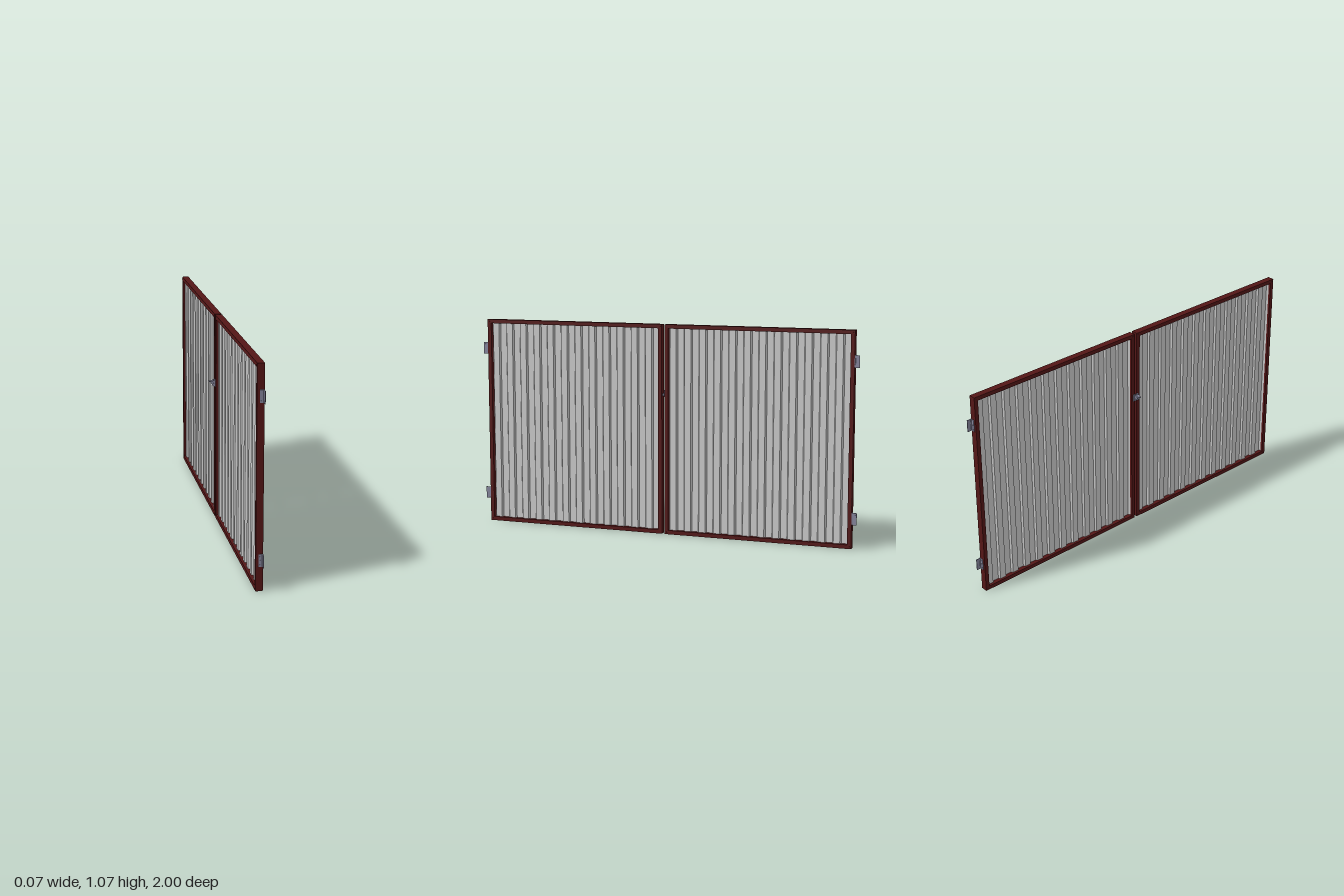
import * as THREE from 'three';

const H = 1.07, INNER = 0.007, OUTER = 0.975, BAR = 0.02;
const X0 = -0.004, X1 = 0.03;

const frameMat = new THREE.MeshStandardMaterial({ color: 0x541616 });
const metalMat = new THREE.MeshStandardMaterial({ color: 0x85859c });
const panelMat = new THREE.MeshStandardMaterial({ color: 0xcccccc, side: THREE.DoubleSide, flatShading: true });

function add(parent, name, geometry, material, x = 0, y = 0, z = 0) {
  const mesh = new THREE.Mesh(geometry, material);
  mesh.name = name;
  mesh.position.set(x, y, z);
  parent.add(mesh);
  return mesh;
}

function box(parent, name, material, sx, sy, sz, x, y, z) {
  return add(parent, name, new THREE.BoxGeometry(sx, sy, sz), material, x, y, z);
}

function rectangle(path, w, y0, y1) {
  path.moveTo(-w / 2, y0);
  path.lineTo(w / 2, y0);
  path.lineTo(w / 2, y1);
  path.lineTo(-w / 2, y1);
  path.closePath();
  return path;
}

// Rectangular tube frame, its opening cut through
function frameGeometry(w) {
  const shape = rectangle(new THREE.Shape(), w, 0, H);
  shape.holes.push(rectangle(new THREE.Path(), w - 2 * BAR, BAR, H - BAR));
  return new THREE.ExtrudeGeometry(shape, { depth: X1 - X0, bevelEnabled: false }).rotateY(Math.PI / 2);
}

// Sheet with trapezoidal ribs, folded from one zigzag section
function sheetGeometry(w, h, ribs) {
  const pitch = w / ribs, section = [];
  for (let i = 0; i < ribs; i++) {
    for (const [t, x] of [[0, 0.008], [0.42, 0.008], [0.5, 0.018], [0.92, 0.018]]) {
      section.push([x, -w / 2 + (i + t) * pitch]);
    }
  }
  section.push([0.008, w / 2]);
  const positions = [], index = [];
  section.forEach(([x, z], i) => {
    positions.push(x, 0, z, x, h, z);
    const a = 2 * i;
    if (i) index.push(a - 2, a - 1, a, a, a - 1, a + 1);
  });
  const geometry = new THREE.BufferGeometry();
  geometry.setAttribute('position', new THREE.Float32BufferAttribute(positions, 3));
  geometry.setIndex(index);
  geometry.computeVertexNormals();
  return geometry;
}

// Angle hinge: a plate screwed to the post, a wing and a pin
function hinge(side, y) {
  const g = new THREE.Group();
  g.name = 'hinge';
  box(g, 'hingePlate', metalMat, 0.022, 0.06, 0.003, 0.019, y, side * (OUTER + 0.0015));
  box(g, 'hingeWing', metalMat, 0.003, 0.06, 0.025, 0.0275, y, side * (OUTER + 0.0125));
  add(g, 'hingePin', new THREE.CylinderGeometry(0.003, 0.003, 0.06, 10), metalMat, 0.027, y, side * (OUTER + 0.003));
  for (const dy of [-0.02, 0, 0.02]) {
    add(g, 'plateScrew', new THREE.CylinderGeometry(0.0025, 0.0025, 0.002, 8), metalMat,
      0.016, y + dy, side * (OUTER + 0.0035)).rotation.x = Math.PI / 2;
    add(g, 'wingScrew', new THREE.CylinderGeometry(0.0025, 0.0025, 0.002, 8), metalMat,
      0.029, y + dy, side * (OUTER + 0.016)).rotation.z = Math.PI / 2;
  }
  return g;
}

function leaf(side) {
  const g = new THREE.Group();
  g.name = side > 0 ? 'frontLeaf' : 'backLeaf';
  const w = OUTER - INNER, mid = side * (INNER + OUTER) / 2;
  add(g, 'leafFrame', frameGeometry(w), frameMat, X0, 0, mid);
  add(g, 'ribbedSheet', sheetGeometry(w - 2 * BAR, H - 2 * BAR, 12), panelMat, 0, BAR, mid);
  // Corner studs through the frame
  for (const y of [0.01, H - 0.01]) {
    for (const z of [INNER + 0.01, OUTER - 0.01]) {
      add(g, 'cornerStud', new THREE.CylinderGeometry(0.003, 0.003, X1 - X0 + 0.004, 8), frameMat,
        (X0 + X1) / 2, y, side * z).rotation.z = Math.PI / 2;
    }
  }
  g.add(hinge(side, 0.15), hinge(side, 0.92));
  return g;
}

// Latch: wedge-shaped bracket, thumb lever and a bolt through the gap
function latch() {
  const g = new THREE.Group();
  g.name = 'latch';
  const profile = new THREE.Shape();
  profile.moveTo(-0.03, 0.725);
  profile.lineTo(-0.014, 0.703);
  profile.lineTo(-0.007, 0.702);
  profile.lineTo(-0.005, 0.735);
  profile.lineTo(-0.012, 0.735);
  profile.closePath();
  for (const z of [-0.009, 0.009]) {
    const cheek = new THREE.ExtrudeGeometry(profile, { depth: 0.004, bevelEnabled: false });
    add(g, 'latchCheek', cheek, metalMat, 0, 0, z - 0.002);
  }
  box(g, 'latchPlate', metalMat, 0.003, 0.036, 0.034, -0.0055, 0.718, 0);
  box(g, 'latchLever', metalMat, 0.026, 0.005, 0.014, -0.023, 0.728, 0);
  add(g, 'latchPivot', new THREE.CylinderGeometry(0.003, 0.003, 0.028, 10), metalMat, -0.014, 0.717, 0)
    .rotation.x = Math.PI / 2;
  box(g, 'latchBolt', metalMat, 0.036, 0.012, 0.008, 0.01, 0.715, 0);
  return g;
}

export function createModel() {
  const model = new THREE.Group();
  model.name = 'doubleGate';
  model.add(leaf(1), leaf(-1), latch());
  return model;
}
